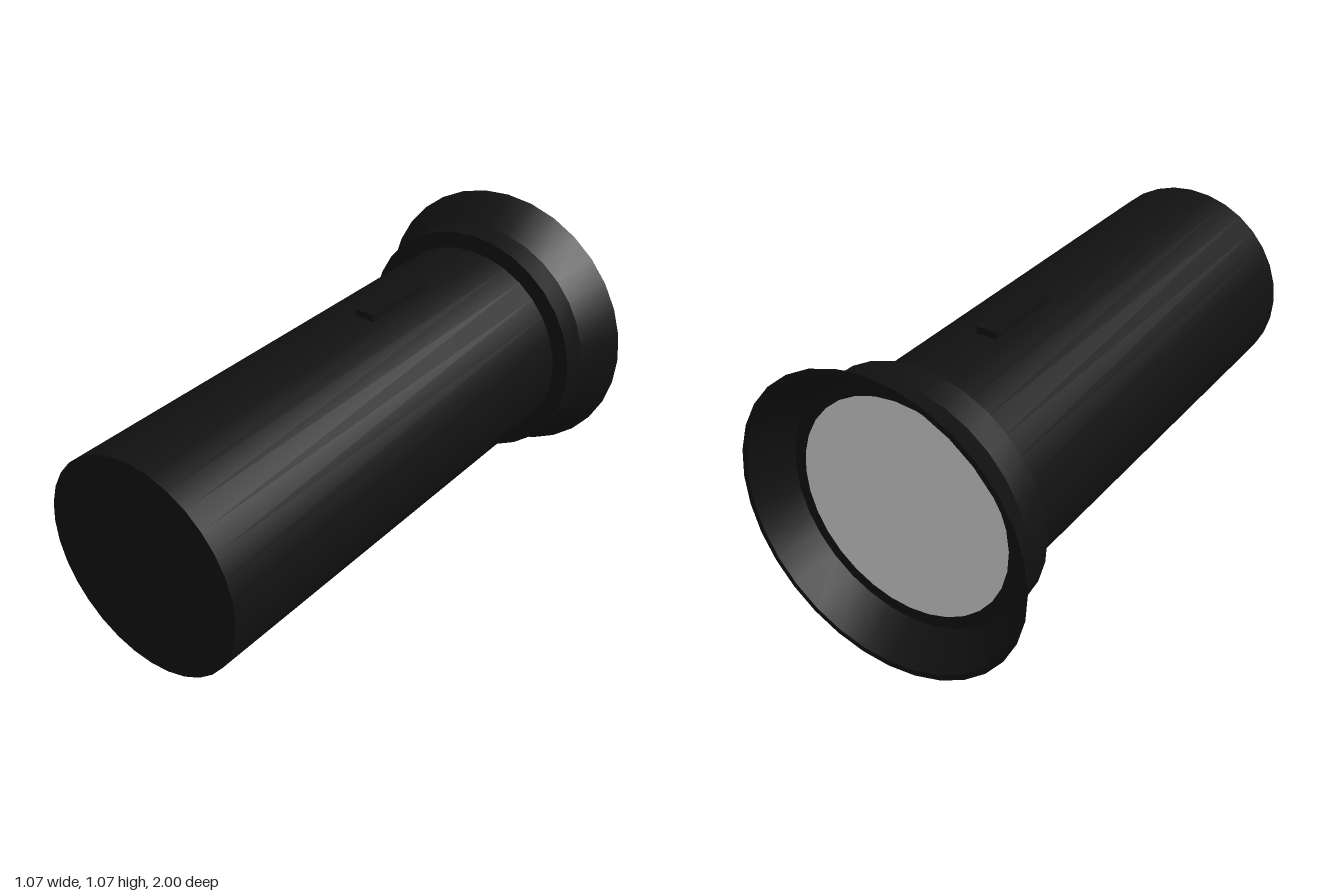
import * as THREE from 'three';
import { toCreasedNormals } from 'three/addons/utils/BufferGeometryUtils.js';

const SIDES = 32;
const AXIS_Y = 0.535;

// Turned part along z; profile points are [radius, z], running from front (+z) to back (-z)
function turned(name, profile, material) {
  const points = profile.map(([r, z]) => new THREE.Vector2(r, -z));
  const geometry = new THREE.LatheGeometry(points, SIDES).rotateX(-Math.PI / 2);
  const mesh = new THREE.Mesh(toCreasedNormals(geometry, 0.4), material);
  mesh.name = name;
  mesh.position.y = AXIS_Y;
  return mesh;
}

export function createModel() {
  const group = new THREE.Group();
  group.name = 'flashlight';
  const black = new THREE.MeshStandardMaterial({ color: 0x111111 });
  const grey = new THREE.MeshStandardMaterial({ color: 0xcccccc });

  // Handle with closed tail
  group.add(turned('handle', [[0, 1], [0.387, 1], [0.387, -0.78]], black));

  // Collar, flared bezel and its hollow inside
  group.add(turned('head', [
    [0.38, -0.765], [0.45, -0.765], [0.45, -0.865], [0.535, -1],
    [0.515, -1], [0.435, -0.87], [0.37, -0.87],
  ], black));

  // Lens recessed in the bezel
  const lens = new THREE.Mesh(new THREE.CircleGeometry(0.387, SIDES).rotateY(Math.PI), grey);
  lens.name = 'lens';
  lens.position.set(0, AXIS_Y, -0.875);
  group.add(lens);

  // Sliding switch on top
  const button = new THREE.Mesh(new THREE.BoxGeometry(0.075, 0.06, 0.31), black);
  button.name = 'switch';
  button.position.set(0, 0.915, -0.257);
  group.add(button);

  return group;
}
